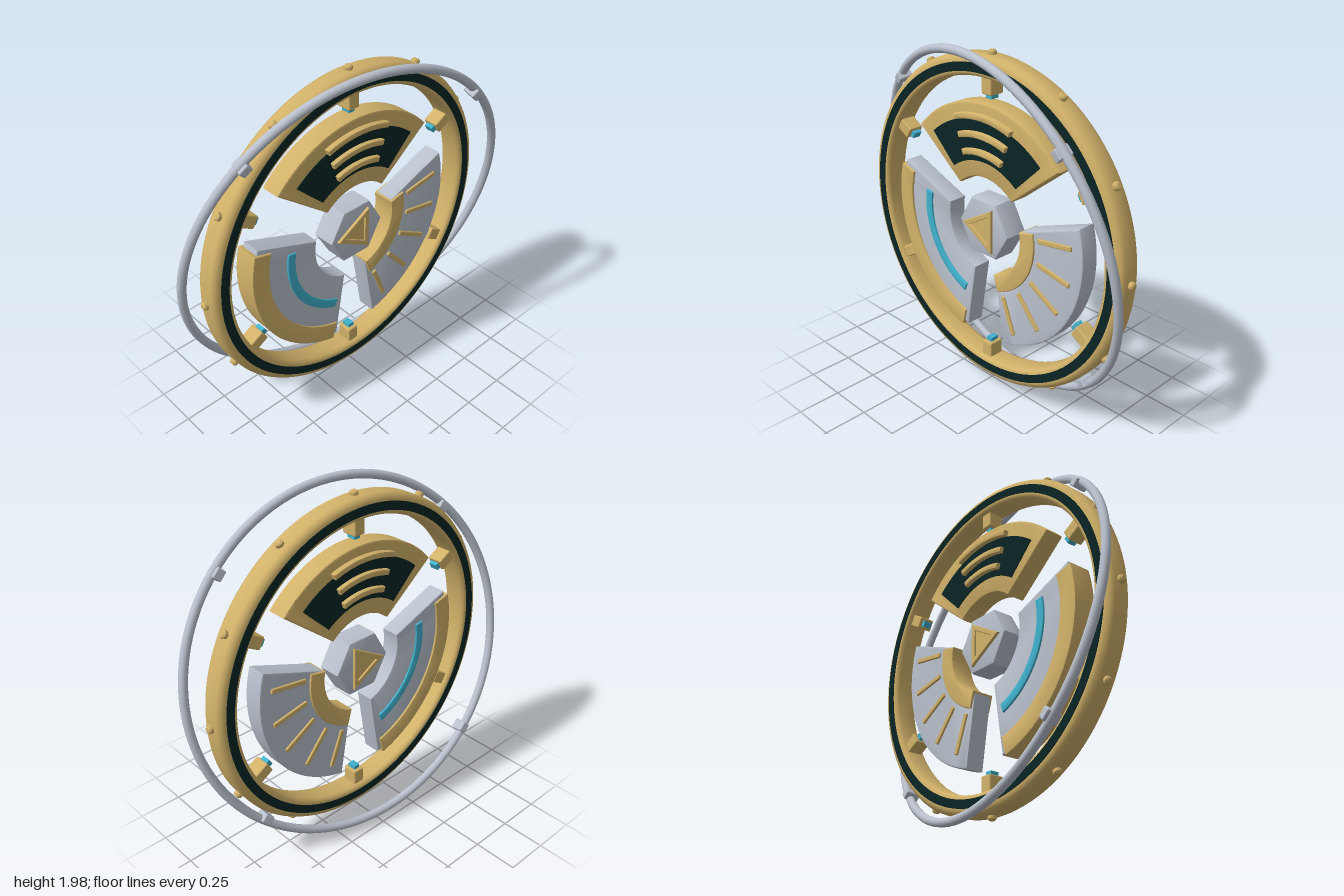
import * as THREE from 'three';
import { toCreasedNormals } from 'three/addons/utils/BufferGeometryUtils.js';
import { RoundedBoxGeometry } from 'three/addons/geometries/RoundedBoxGeometry.js';

const mat = (name, color) => {
  const m = new THREE.MeshStandardMaterial({ color });
  m.name = name;
  return m;
};
const rad = THREE.MathUtils.degToRad;

export function createModel() {
  const gold = mat('gold', 0xd2b26a);
  const silver = mat('silver', 0xbac1cd);
  const dark = mat('darkGreen', 0x0a2424);
  const cyan = mat('cyan', 0x40b2ce);

  const model = new THREE.Group();
  model.name = 'ringedDisc';
  const body = new THREE.Group();
  body.name = 'body';
  body.position.y = 1;
  model.add(body);

  const add = (name, geometry, material, parent = body) => {
    const mesh = new THREE.Mesh(geometry, material);
    mesh.name = name;
    parent.add(mesh);
    return mesh;
  };

  // Bevelled slab centred on z = 0, reaching from -half to +half
  const slab = (shape, half, bevel) => {
    const g = new THREE.ExtrudeGeometry(shape, {
      depth: 2 * (half - bevel), curveSegments: 40, bevelEnabled: bevel > 0,
      bevelThickness: bevel, bevelSize: bevel, bevelOffset: -bevel, bevelSegments: 2,
    });
    g.translate(0, 0, -(half - bevel));
    return toCreasedNormals(g, 0.5);
  };

  // Ring sector around a middle angle, with its own half angle at each radius
  const sector = (r0, r1, mid, halfOuter, halfInner, half, bevel) => {
    const s = new THREE.Shape();
    s.absarc(0, 0, r1, rad(mid - halfOuter), rad(mid + halfOuter), false);
    s.absarc(0, 0, r0, rad(mid + halfInner), rad(mid - halfInner), true);
    s.closePath();
    return slab(s, half, bevel);
  };

  // Regular polygon path with its first corner at a given angle
  const polygon = (Type, r, sides, start) => {
    const pts = [];
    for (let i = 0; i < sides; i++) {
      const a = start + (i * 2 * Math.PI) / sides;
      pts.push(new THREE.Vector2(r * Math.cos(a), r * Math.sin(a)));
    }
    return new Type(pts);
  };

  // Closed ring turned around z from a (radius, depth) profile
  const turned = (profile) => {
    const pts = [...profile, profile[0]].map(([r, z]) => new THREE.Vector2(r, z));
    return toCreasedNormals(new THREE.LatheGeometry(pts, 128).rotateX(Math.PI / 2), 0.75);
  };

  // Main ring with dark inlays on both faces
  add('mainRing', turned([
    [0.9, -0.07], [0.922, -0.06], [0.934, -0.04], [0.934, 0.04], [0.922, 0.06], [0.9, 0.07],
    [0.84, 0.07], [0.826, 0.062], [0.82, 0.045], [0.82, -0.045], [0.826, -0.062], [0.84, -0.07],
  ]), gold);
  for (const z of [-0.07, 0.07]) {
    add('ringInlay', turned([
      [0.893, z - 0.004], [0.893, z + 0.004], [0.846, z + 0.004], [0.846, z - 0.004],
    ]), dark);
  }

  // Studs around the rim
  for (let i = 0; i < 12; i++) {
    const holder = new THREE.Group();
    holder.name = 'rimStud';
    holder.rotation.z = (i * Math.PI) / 6;
    body.add(holder);
    add('studBase', new THREE.CylinderGeometry(0.023, 0.023, 0.035, 8), gold, holder).position.y = 0.932;
    add('studTip', new THREE.CylinderGeometry(0.015, 0.023, 0.008, 8), gold, holder).position.y = 0.9535;
  }

  // Inward blocks with glowing tips
  for (let i = 0; i < 6; i++) {
    const holder = new THREE.Group();
    holder.name = 'innerBlock';
    holder.rotation.z = (i * Math.PI) / 3;
    body.add(holder);
    add('block', new RoundedBoxGeometry(0.07, 0.1, 0.09, 2, 0.008), gold, holder).position.y = 0.782;
    add('blockTip', new THREE.BoxGeometry(0.038, 0.025, 0.05), cyan, holder).position.y = 0.722;
  }

  // Top panel with dark field and raised arcs
  add('topPanel', sector(0.285, 0.688, 90, 48, 43, 0.058, 0.01), gold);
  add('topField', sector(0.375, 0.6, 90, 41, 38, 0.063, 0), dark);
  for (const r of [0.617, 0.52, 0.427]) {
    add('topArc', sector(r - 0.016, r + 0.016, 90, 19.3, 19.3, 0.088, 0.006), gold);
  }

  // Lower right-hand panel with outer gold band and cyan arc
  add('bandPanel', sector(0.28, 0.682, 210, 48, 44, 0.056, 0.01), silver);
  add('outerBand', sector(0.595, 0.702, 210, 45.5, 45.5, 0.068, 0.008), gold);
  add('cyanArc', sector(0.425, 0.476, 210, 40.5, 40.5, 0.067, 0.006), cyan);

  // Lower left-hand panel with inner gold band and radial bars
  add('barPanel', sector(0.28, 0.685, -30, 48, 44, 0.056, 0.01), silver);
  add('innerBand', sector(0.268, 0.366, -30, 43.5, 43.5, 0.068, 0.008), gold);
  for (let i = -2; i <= 2; i++) {
    const a = rad(-30 + i * 19.3);
    const bar = add('radialBar', new RoundedBoxGeometry(0.225, 0.028, 0.134, 1, 0.006), gold);
    bar.position.set(0.507 * Math.cos(a), 0.507 * Math.sin(a), 0);
    bar.rotation.z = a;
  }

  // Hexagonal hub with a framed triangle
  add('hub', slab(polygon(THREE.Shape, 0.183, 6, 0), 0.07, 0.012), silver);
  const frame = polygon(THREE.Shape, 0.146, 3, Math.PI);
  frame.holes.push(polygon(THREE.Path, 0.09, 3, Math.PI));
  add('triangleFrame', slab(frame, 0.086, 0.005), gold);
  add('triangleFloor', slab(polygon(THREE.Shape, 0.11, 3, Math.PI), 0.076, 0), gold);

  // Tilted outer ring with four clips
  const orbit = new THREE.Group();
  orbit.name = 'tiltedRing';
  orbit.rotation.set(0.19, -0.15, 0);
  body.add(orbit);
  add('outerRing', new THREE.TorusGeometry(0.986, 0.024, 12, 128), silver, orbit);
  for (let i = 0; i < 4; i++) {
    const a = Math.PI / 4 + (i * Math.PI) / 2;
    const clip = add('ringClip', new RoundedBoxGeometry(0.05, 0.06, 0.08, 2, 0.008), silver, orbit);
    clip.position.set(0.968 * Math.cos(a), 0.968 * Math.sin(a), 0);
    clip.rotation.z = a;
  }

  return model;
}
